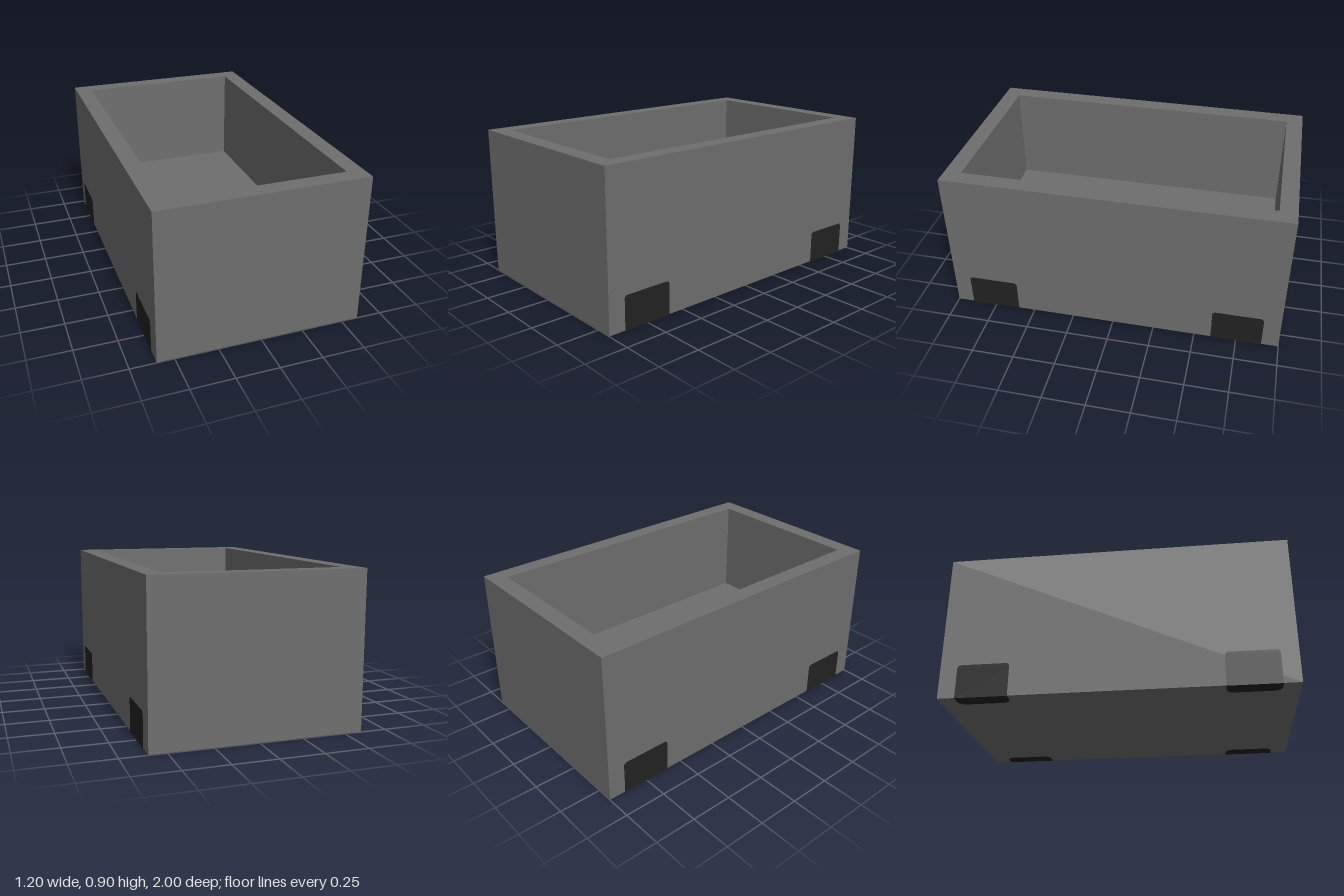
import * as THREE from 'three';

const GAP = 0.002; // stand-off of the thin foot plates

// Flat plate with its two far corners rounded, base edge on y = 0
function plate(width, height, r) {
  const w = width / 2;
  const s = new THREE.Shape();
  s.moveTo(-w, 0);
  s.lineTo(w, 0);
  s.lineTo(w, height - r);
  s.absarc(w - r, height - r, r, 0, Math.PI / 2, false);
  s.lineTo(-w + r, height);
  s.absarc(-w + r, height - r, r, Math.PI / 2, Math.PI, false);
  return new THREE.ShapeGeometry(s, 6);
}

// Open rectangular box: a four-sided lathe stretched lengthwise
function boxShell() {
  const profile = [[0, GAP], [0.6, GAP], [0.6, 0.9], [0.5, 0.9], [0.5, 0.3], [0, 0.3]]
    .map(([x, y]) => new THREE.Vector2(x, y));
  const geo = new THREE.LatheGeometry(profile, 4, Math.PI / 4).toNonIndexed();
  const p = geo.attributes.position;
  for (let i = 0; i < p.count; i++) {
    const x = p.getX(i) * Math.SQRT2, z = p.getZ(i) * Math.SQRT2;
    const stretch = Math.abs(z) > 0.01 ? Math.sign(z) * 0.4 : 0;
    p.setXYZ(i, x, p.getY(i), z + stretch);
  }
  geo.computeVertexNormals();
  return geo;
}

export function createModel() {
  const grey = new THREE.MeshStandardMaterial({ color: 0x6e6e6e });
  grey.name = 'grey';
  const black = new THREE.MeshStandardMaterial({ color: 0x222222 });
  black.name = 'black';

  const model = new THREE.Group();
  model.name = 'openBox';

  const body = new THREE.Mesh(boxShell(), grey);
  body.name = 'body';
  model.add(body);

  // Dark feet near each corner, wrapping from the side onto the underside
  for (const side of [1, -1]) {
    for (const end of [1, -1]) {
      const foot = new THREE.Group();
      foot.name = (end > 0 ? 'front' : 'back') + (side > 0 ? 'Left' : 'Right') + 'Foot';
      const outer = new THREE.Mesh(plate(0.3, 0.2, 0.02).rotateY(side * Math.PI / 2), black);
      outer.name = 'footSide';
      const under = new THREE.Mesh(
        plate(0.3, 0.1, 0.045).rotateX(Math.PI / 2).rotateY(-side * Math.PI / 2), black);
      under.name = 'footUnderside';
      foot.add(outer, under);
      foot.position.set(side * (0.6 + GAP), 0, end * 0.75);
      model.add(foot);
    }
  }
  return model;
}
